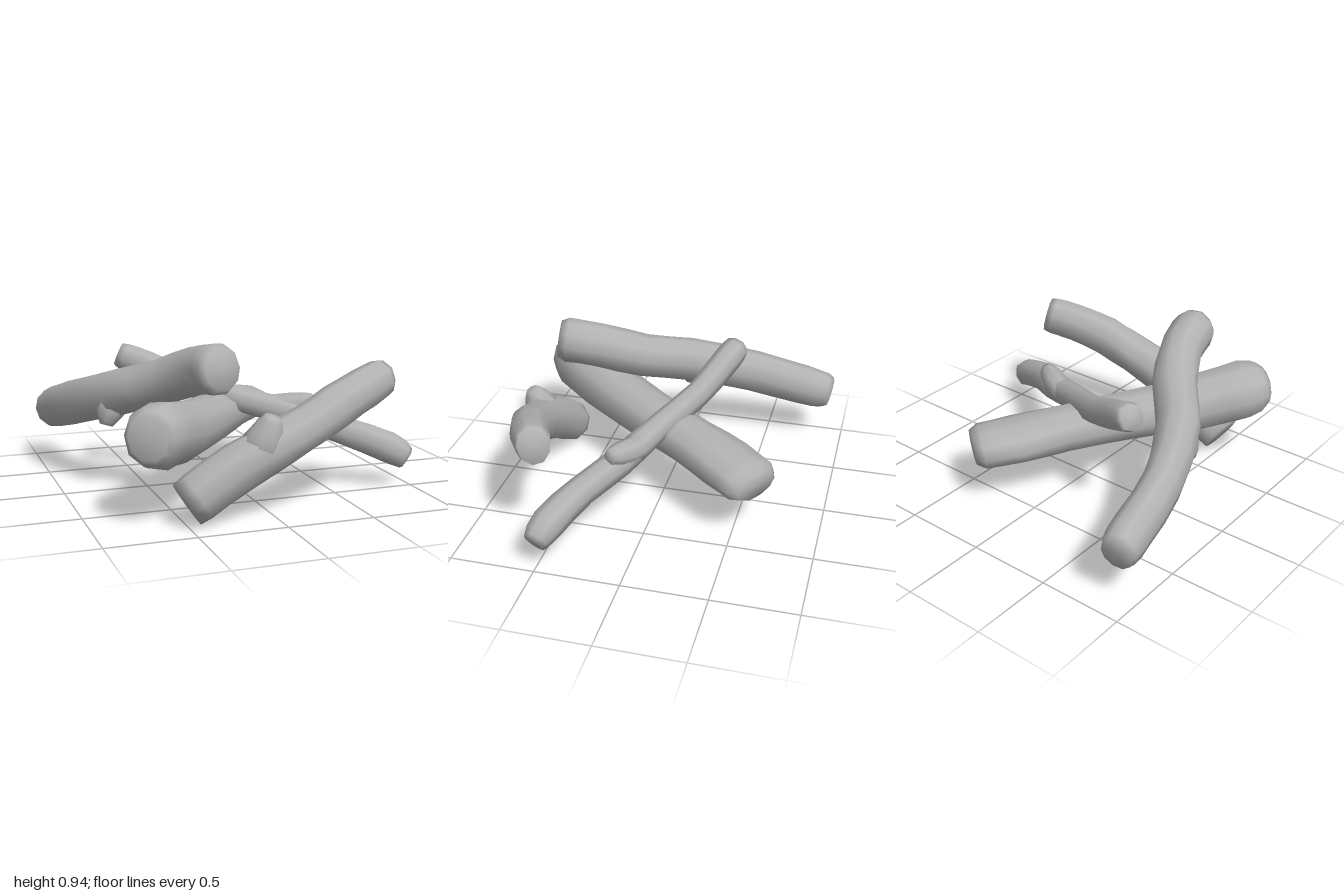
import * as THREE from 'three';

// Lofts a knobbly log along a path. Each point: [x, y, z, half width, half height]
function logGeometry(points, sides, seed, bevel) {
  let s = seed;
  const rand = () => ((s = (s * 16807) % 2147483647) / 2147483647);
  const curve = new THREE.CatmullRomCurve3(points.map(p => new THREE.Vector3(p[0], p[1], p[2])));
  const spans = points.length - 1;
  const first = curve.getPoint(0), last = curve.getPoint(1);
  const ts = [];
  for (let i = 0; i <= spans * 2; i++) ts.push(i / (spans * 2));
  ts.splice(1, 0, 0.2 / spans);
  ts.splice(ts.length - 1, 0, 1 - 0.2 / spans);

  const pos = [], idx = [];
  const up = new THREE.Vector3(0, 1, 0);
  const lumps = Array.from({ length: sides }, () => 0.98 + rand() * 0.07);
  for (const t of ts) {
    const c = curve.getPoint(t), d = curve.getTangent(t);
    const side = d.clone().cross(up).normalize();
    const top = side.clone().cross(d);
    const k = Math.min(Math.floor(t * spans), spans - 1), f = t * spans - k;
    const w = THREE.MathUtils.lerp(points[k][3], points[k + 1][3], f);
    const h = THREE.MathUtils.lerp(points[k][4], points[k + 1][4], f);
    const edge = Math.min(c.distanceTo(first), c.distanceTo(last));
    const shrink = bevel + (1 - bevel) * Math.min(1, edge / 0.05);
    for (let j = 0; j < sides; j++) {
      const a = (j / sides) * Math.PI * 2;
      const r = shrink * lumps[j] * (0.99 + rand() * 0.05);
      const p = c.clone().addScaledVector(side, Math.cos(a) * w * r).addScaledVector(top, Math.sin(a) * h * r);
      pos.push(p.x, p.y, p.z);
    }
  }
  // Bark
  const lastRing = (ts.length - 1) * sides;
  for (let i = 0; i < lastRing; i += sides) {
    for (let j = 0; j < sides; j++) {
      const a = i + j, b = i + (j + 1) % sides;
      idx.push(a, a + sides, b, b, a + sides, b + sides);
    }
  }
  // Worn ends, shaded smoothly into the bark
  const tip = pos.length / 3;
  pos.push(...first.toArray(), ...last.toArray());
  for (let j = 0; j < sides; j++) {
    const n = (j + 1) % sides;
    idx.push(tip, j, n, tip + 1, lastRing + n, lastRing + j);
  }
  const g = new THREE.BufferGeometry();
  g.setAttribute('position', new THREE.Float32BufferAttribute(pos, 3));
  g.setIndex(idx);
  g.computeVertexNormals();
  return g;
}

export function createModel() {
  const group = new THREE.Group();
  group.name = 'logPile';
  const wood = new THREE.MeshStandardMaterial({ color: 0xb2b2b2 });
  wood.name = 'greyWood';

  const add = (name, points, sides, seed, bevel) => {
    const mesh = new THREE.Mesh(logGeometry(points, sides, seed, bevel), wood);
    mesh.name = name;
    group.add(mesh);
  };

  // Thick straight log at the bottom
  add('thickLog', [
    [-0.72, 0.475, 0.865, 0.14, 0.15],
    [-0.63, 0.46, 0.74, 0.178, 0.18],
    [-0.46, 0.415, 0.52, 0.17, 0.17],
    [-0.2, 0.385, 0.17, 0.165, 0.145],
    [0.04, 0.36, -0.18, 0.165, 0.13],
    [0.2, 0.34, -0.42, 0.195, 0.12],
    [0.36, 0.315, -0.63, 0.18, 0.11],
  ], 10, 11, 0.78);

  // Bent log lying over the thick one, with a stub underneath
  add('bentLog', [
    [-0.915, 0.3, -0.905, 0.11, 0.12],
    [-0.89, 0.345, -0.72, 0.112, 0.13],
    [-0.835, 0.43, -0.4, 0.112, 0.135],
    [-0.665, 0.555, 0, 0.13, 0.135],
    [-0.46, 0.65, 0.25, 0.135, 0.13],
    [-0.335, 0.75, 0.5, 0.13, 0.135],
    [-0.28, 0.79, 0.75, 0.13, 0.135],
  ], 10, 23, 0.82);
  add('bentLogStub', [
    [-0.69, 0.52, -0.02, 0.1, 0.1],
    [-0.72, 0.44, 0, 0.08, 0.08],
    [-0.745, 0.365, 0.01, 0.05, 0.05],
  ], 8, 71, 0.75);

  // Front log leaning up to the side, with a branch stub
  add('frontLog', [
    [-0.49, 0.075, 0.78, 0.142, 0.135],
    [-0.2, 0.26, 0.79, 0.133, 0.137],
    [0, 0.355, 0.79, 0.13, 0.13],
    [0.2, 0.44, 0.76, 0.125, 0.122],
    [0.4, 0.53, 0.71, 0.115, 0.125],
    [0.6, 0.6, 0.63, 0.11, 0.12],
    [0.77, 0.645, 0.54, 0.1, 0.115],
  ], 9, 37, 0.92);
  add('frontLogStub', [
    [-0.1, 0.33, 0.8, 0.12, 0.12],
    [-0.06, 0.44, 0.825, 0.09, 0.09],
    [-0.035, 0.54, 0.85, 0.055, 0.055],
  ], 8, 41, 0.75);

  // Thin branch with a stub
  add('thinBranch', [
    [0.965, 0.14, 0.5, 0.075, 0.08],
    [0.86, 0.21, 0.455, 0.095, 0.095],
    [0.62, 0.3, 0.33, 0.085, 0.085],
    [0.4, 0.38, 0.17, 0.085, 0.085],
    [0.1, 0.46, 0.02, 0.075, 0.078],
    [-0.2, 0.56, -0.16, 0.072, 0.083],
    [-0.42, 0.655, -0.26, 0.078, 0.092],
    [-0.58, 0.725, -0.33, 0.085, 0.085],
  ], 8, 53, 0.85);
  add('thinBranchStub', [
    [0.2, 0.42, 0.06, 0.07, 0.07],
    [0.36, 0.43, 0.13, 0.075, 0.075],
    [0.49, 0.46, 0.2, 0.055, 0.06],
  ], 8, 67, 0.75);

  return group;
}
